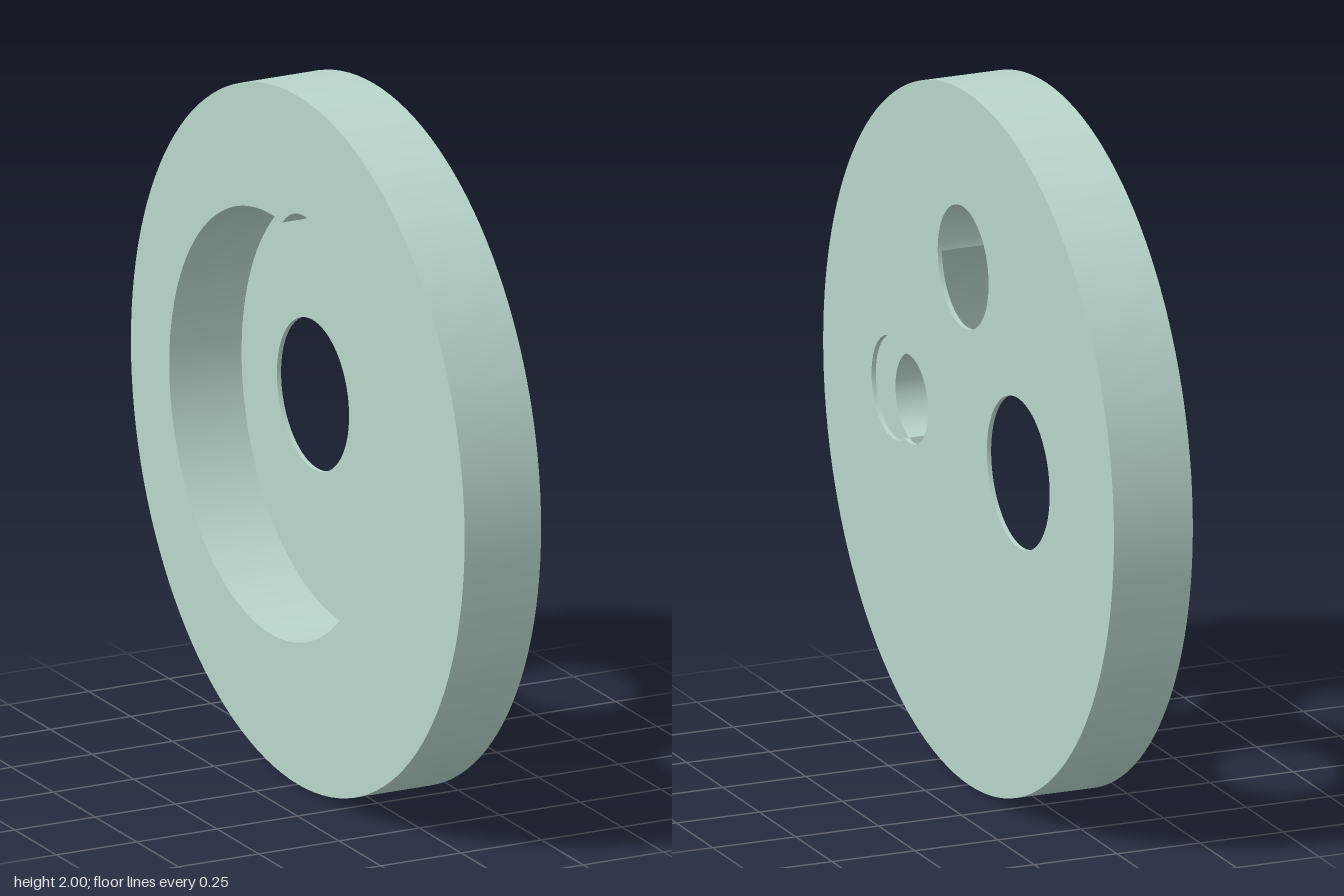
import * as THREE from 'three';

// Plate drawn in a local plane (u = -z, v = y), thickness along local z (= x)
const HALF = 0.119;           // half thickness
const FLOOR = 0.106;          // level of the pocket floor and of the shallow recess
const TURN = Math.PI * 2;

const disc = { u: 0, v: 0, r: 1 };
const pocket = { u: 0.16, v: 0, r: 0.61 };
const bigHole = { u: 0.342, v: 0, r: 0.216 };
const topHole = { u: -0.037, v: 0.487, r: 0.175 };
const smallHole = { u: -0.405, v: 0, r: 0.127 };
const recess = { u: -0.52, v: 0, r: 0.147 };

// Points along a circle from angle a to angle b
function arc(c, a, b) {
  const n = Math.max(8, Math.ceil((Math.abs(b - a) / TURN) * 128));
  return Array.from({ length: n + 1 }, (_, i) => {
    const t = a + ((b - a) * i) / n;
    return new THREE.Vector2(c.u + c.r * Math.cos(t), c.v + c.r * Math.sin(t));
  });
}

// Crossing of circle A with circle B: the angles of B's arcs in and out of A
function cross(A, B) {
  const du = B.u - A.u, dv = B.v - A.v, d = Math.hypot(du, dv);
  const phi = (Math.atan2(dv, du) + TURN) % TURN;
  const alpha = Math.acos((d * d + A.r * A.r - B.r * B.r) / (2 * d * A.r));
  const beta = Math.acos((d * d + B.r * B.r - A.r * A.r) / (2 * d * B.r));
  return {
    from: phi - alpha, to: phi + alpha,
    out: [phi - Math.PI + beta, phi + Math.PI - beta],
    in: [phi + Math.PI + beta, phi + Math.PI - beta],
  };
}

export function createModel() {
  const group = new THREE.Group();
  const plate = new THREE.Group();
  plate.name = 'plate';
  plate.rotation.y = Math.PI / 2;
  plate.position.y = 1;
  group.add(plate);

  const material = new THREE.MeshStandardMaterial({ color: 0xb8d6cb, side: THREE.DoubleSide });

  function add(name, geometry) {
    const mesh = new THREE.Mesh(geometry, material);
    mesh.name = name;
    plate.add(mesh);
    return mesh;
  }

  // Flat face with holes
  function face(name, outline, holes, z) {
    const shape = new THREE.Shape(outline);
    shape.holes = holes.map((h) => new THREE.Path(h));
    add(name, new THREE.ShapeGeometry(shape)).position.z = z;
  }

  // Curved wall along part of a circle
  function wall(name, c, [a, b], z0, z1) {
    const start = Math.min(a, b), length = Math.abs(b - a);
    const n = Math.max(8, Math.ceil((length / TURN) * 128));
    const g = new THREE.CylinderGeometry(c.r, c.r, z1 - z0, n, 1, true, start + Math.PI / 2, length);
    g.rotateX(Math.PI / 2);
    add(name, g).position.set(c.u, c.v, (z0 + z1) / 2);
  }

  const full = (c) => arc(c, 0, TURN);
  const t = cross(pocket, topHole);
  const s = cross(pocket, smallHole);
  const r = cross(smallHole, recess);
  const hr = cross(recess, smallHole);
  const pocketLong = [s.to, t.from + TURN];
  const pocketShort = [t.to, s.from];

  // Pocket outline, with the two crossing holes either added or cut away
  const pocketOutline = (side) => [
    ...arc(pocket, ...pocketLong).slice(0, -1), ...arc(topHole, ...t[side]).slice(0, -1),
    ...arc(pocket, ...pocketShort).slice(0, -1), ...arc(smallHole, ...s[side]).slice(0, -1),
  ];
  // Small hole joined with the shallow recess
  const joinedHole = [
    ...arc(smallHole, r.to, r.from + TURN).slice(0, -1), ...arc(recess, ...r.out).slice(0, -1),
  ];
  const crescent = [
    ...arc(recess, ...r.out).slice(0, -1), ...arc(smallHole, ...[...hr.in].reverse()).reverse().slice(0, -1),
  ];
  // Rebuild the inner edge so that it runs back along the small hole
  crescent.splice(0, crescent.length, ...arc(recess, ...r.out), ...arc(smallHole, r.to, r.from).slice(1, -1));

  // Faces
  face('outerFace', full(disc), [full(bigHole), full(topHole), joinedHole], HALF);
  face('pocketSideFace', full(disc), [pocketOutline('out')], -HALF);
  face('pocketFloor', pocketOutline('in'), [full(bigHole)], FLOOR);
  face('recessFloor', crescent, [], FLOOR);

  // Walls
  wall('rim', disc, [0, TURN], -HALF, HALF);
  wall('pocketWall', pocket, pocketLong, -HALF, FLOOR);
  wall('pocketWall', pocket, pocketShort, -HALF, FLOOR);
  wall('bigHoleWall', bigHole, [0, TURN], FLOOR, HALF);
  wall('topHoleWall', topHole, [0, TURN], FLOOR, HALF);
  wall('topHoleNotch', topHole, t.out, -HALF, FLOOR);
  wall('smallHoleWall', smallHole, [r.to, r.from + TURN], FLOOR, HALF);
  wall('smallHoleNotch', smallHole, s.out, -HALF, FLOOR);
  wall('recessWall', recess, r.out, FLOOR, HALF);

  return group;
}
